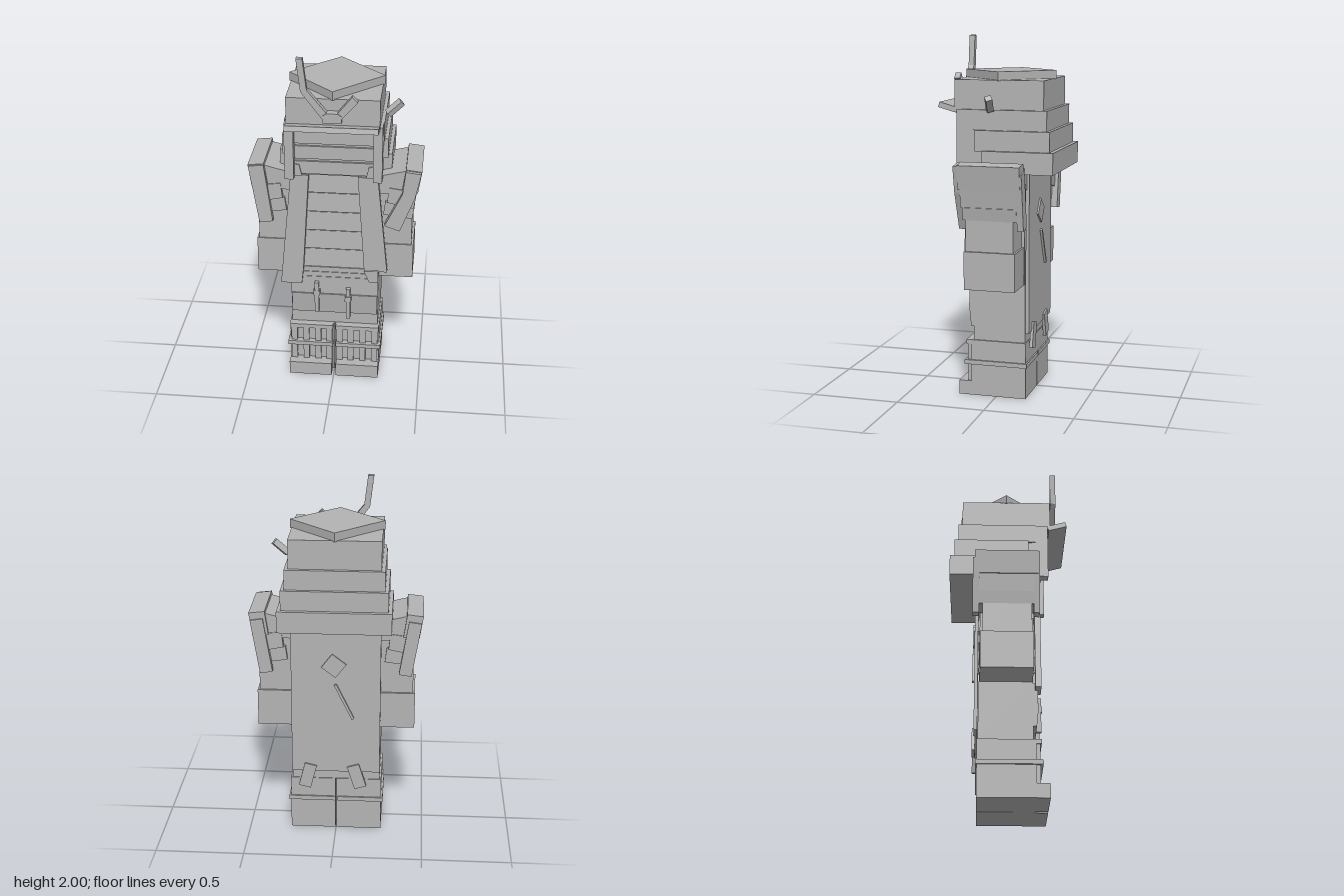
import * as THREE from 'three';

export function createModel() {
  const root = new THREE.Group();
  root.name = 'armouredFigure';
  const gray = new THREE.MeshStandardMaterial({ color: 0xb3b3b3 });
  gray.name = 'plain gray';

  const add = (name, geometry) => {
    const mesh = new THREE.Mesh(geometry, gray);
    mesh.name = name;
    root.add(mesh);
    return mesh;
  };
  // Box given by its limits
  const box = (name, x0, x1, y0, y1, z0, z1) => {
    const mesh = add(name, new THREE.BoxGeometry(Math.abs(x1 - x0), y1 - y0, z1 - z0));
    mesh.position.set((x0 + x1) / 2, (y0 + y1) / 2, (z0 + z1) / 2);
    return mesh;
  };
  // Front outline pushed through from z0 to z1, optionally mirrored by s
  const prism = (name, pts, z0, z1, s = 1) => {
    const shape = new THREE.Shape(pts.map(([x, y]) => new THREE.Vector2(x * s, y)));
    const geometry = new THREE.ExtrudeGeometry(shape, { depth: z1 - z0, bevelEnabled: false });
    geometry.translate(0, 0, z0);
    return add(name, geometry);
  };

  // Legs, boots and feet
  for (const s of [-1, 1]) {
    box('boot', s * 0.003, s * 0.26, 0, 0.32, -0.17, 0.145);
    box('foot', s * 0.012, s * 0.26, 0, 0.08, 0.1, 0.215);
    box('bootBand', s * 0.008, s * 0.27, 0.18, 0.205, -0.178, 0.18);
    box('bootTopRim', s * 0.008, s * 0.258, 0.295, 0.32, 0.1, 0.172);
    for (const x of [0.03, 0.095, 0.165, 0.235]) {
      box('shinStrip', s * (x - 0.017), s * (x + 0.017), 0.08, 0.3, 0.13, 0.165);
    }
    box('thigh', s * 0.001, s * 0.25, 0.32, 0.65, -0.165, 0.13);
  }

  // Front skirt, its lower layer sloping back
  box('skirtUpper', -0.25, 0.25, 0.52, 0.64, 0.1, 0.155);
  const lowerSkirt = box('skirtLower', -0.245, 0.245, 0.4, 0.53, 0.115, 0.155);
  lowerSkirt.rotation.x = 0.1;
  for (const [x, y] of [[-0.1, 0.51], [0.08, 0.475]]) {
    box('skirtStrap', x - 0.012, x + 0.012, y - 0.095, y + 0.1, 0.14, 0.178);
    box('strapKnot', x - 0.018, x + 0.018, y + 0.02, y + 0.05, 0.14, 0.182);
  }

  // Torso with chest slats
  box('torso', -0.25, 0.25, 0.63, 1.3, -0.16, 0.125);
  for (let i = 0; i < 5; i++) {
    const y = 0.7 + i * 0.118;
    const slat = box('chestSlat', -0.2, 0.2, y, y + 0.112, 0.1, 0.14);
    slat.rotation.x = -0.07;
  }
  box('waistBand', -0.24, 0.25, 0.63, 0.67, 0.1, 0.152);
  box('waistBand', -0.245, 0.252, 0.67, 0.7, 0.1, 0.148);

  // Coat: front panels, lapels and back sheet
  prism('coatFront', [[-0.24, 1.29], [-0.14, 1.29], [-0.175, 0.7], [-0.185, 0.6], [-0.305, 0.6]], 0.14, 0.172);
  prism('coatFront', [[0.24, 1.29], [0.13, 1.29], [0.17, 0.7], [0.3, 0.7]], 0.14, 0.172);
  prism('coatFlap', [[0.17, 0.7], [0.25, 0.71], [0.25, 0.63], [0.2, 0.63]], 0.14, 0.178);
  for (const s of [-1, 1]) {
    prism('lapel', [[0.24, 1.29], [0.175, 1.29], [0.19, 1.355], [0.22, 1.36]], 0.11, 0.18, s);
  }
  box('coatBack', -0.25, 0.25, 0.375, 1.28, -0.187, -0.168);
  for (const [x, tilt] of [[0.16, 0.25], [-0.12, -0.3]]) {
    const tab = box('coatTab', x - 0.035, x + 0.035, 0.275, 0.42, -0.197, -0.18);
    tab.rotation.z = tilt;
  }
  const diamond = box('backDiamond', -0.04, 0.06, 0.98, 1.08, -0.196, -0.185);
  diamond.rotation.z = 0.65;
  const sash = box('backBar', -0.055, -0.04, 0.7, 0.93, -0.2, -0.185);
  sash.rotation.z = -0.45;

  // Arms with layered shoulder guards
  for (const s of [-1, 1]) {
    box('upperArm', s * 0.25, s * 0.43, 0.85, 1.2, -0.145, 0.12);
    box('forearm', s * 0.25, s * 0.442, 0.65, 0.86, -0.157, 0.127);
    prism('shoulder', [[0.24, 1.18], [0.24, 1.28], [0.27, 1.295], [0.39, 1.325], [0.42, 1.17], [0.38, 1.19]], -0.175, 0.14, s);
    prism('shoulderPlate', [[0.39, 1.34], [0.478, 1.33], [0.458, 1.2], [0.37, 1.205]], -0.19, 0.155, s);
    prism('shoulderPlate', [[0.3, 1.22], [0.452, 1.2], [0.438, 1.1], [0.29, 1.13]], -0.18, 0.145, s);
    prism('shoulderPlate', [[0.28, 1.13], [0.442, 1.1], [0.43, 1.03], [0.27, 1.05]], -0.165, 0.135, s);
    prism('backStrip', [[0.4, 1.3], [0.47, 1.29], [0.42, 0.98], [0.35, 0.99]], -0.2, -0.165, s);
  }
  prism('frontStrip', [[-0.39, 1.335], [-0.475, 1.325], [-0.42, 0.98], [-0.345, 0.99]], 0.13, 0.163);
  prism('frontStrip', [[0.39, 1.335], [0.475, 1.325], [0.445, 1.18], [0.365, 0.97], [0.28, 1.0], [0.375, 1.2]], 0.13, 0.176);

  // Head and stepped neck guard
  box('face', -0.225, 0.225, 1.29, 1.62, -0.25, 0.16);
  for (const y of [1.3, 1.39, 1.48]) box('faceSlat', -0.215, 0.215, y, y + 0.075, 0.14, 0.172);
  box('helmetCrown', -0.25, 0.25, 1.6, 1.77, -0.265, 0.235);
  box('neckGuard', -0.27, 0.27, 1.5, 1.61, -0.287, 0.15);
  box('neckGuard', -0.29, 0.29, 1.385, 1.5, -0.307, 0.11);
  box('neckGuard', -0.31, 0.31, 1.27, 1.39, -0.331, 0.065);
  for (const s of [-1, 1]) {
    box('cheekPost', s * 0.215, s * 0.265, 1.285, 1.61, 0.13, 0.22);
    box('cheekSide', s * 0.21, s * 0.262, 1.285, 1.61, -0.2, 0.15);
  }
  const cap = box('crownPlate', -0.184, 0.184, 1.765, 1.815, -0.199, 0.169);
  cap.rotation.y = Math.PI / 4;
  const visor = box('visor', -0.248, 0.248, 1.603, 1.633, 0.222, 0.328);
  visor.rotation.x = -0.27;

  // Crest with one broken horn
  prism('crest', [[-0.05, 1.65], [0.05, 1.65], [0.05, 1.69], [0.03, 1.705], [-0.03, 1.705], [-0.05, 1.69]], 0.23, 0.28);
  prism('tallHorn', [[-0.045, 1.66], [-0.165, 1.82], [-0.187, 2], [-0.153, 2], [-0.132, 1.83], [-0.025, 1.7]], 0.242, 0.274);
  prism('brokenHorn', [[0.04, 1.66], [0.135, 1.77], [0.105, 1.8], [0.025, 1.7]], 0.242, 0.274);

  // Peg at the side of the helmet
  const peg = box('sidePeg', 0.265, 0.365, 1.628, 1.662, 0.002, 0.038);
  peg.rotation.set(0.3, 0.42, 0.65);

  return root;
}
